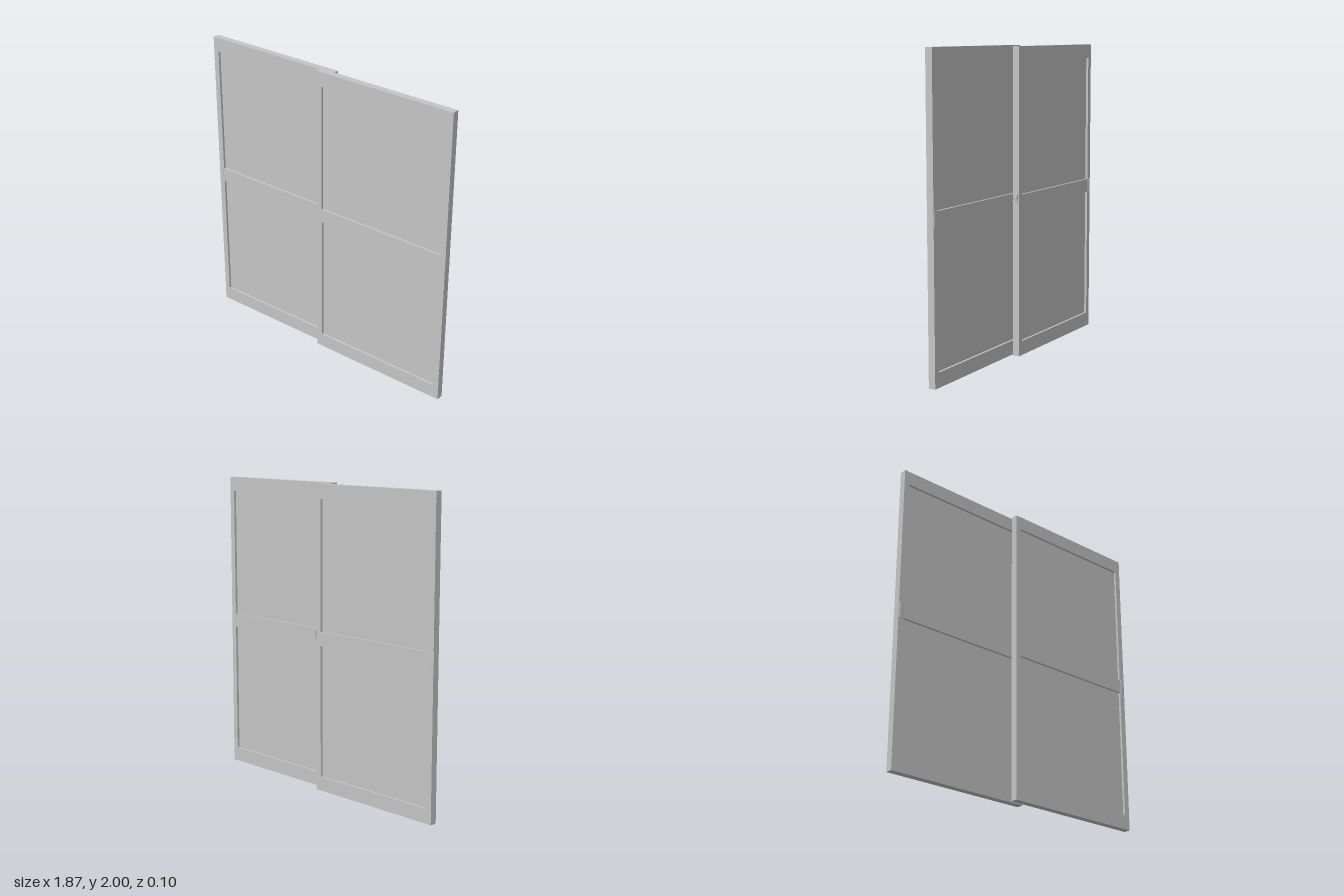
import * as THREE from 'three';

const grey = new THREE.MeshStandardMaterial({ color: 0xc5c5c5 });
grey.name = 'grey';

function add(parent, geometry, name, x = 0, y = 0, z = 0) {
  const mesh = new THREE.Mesh(geometry, grey);
  mesh.name = name;
  mesh.position.set(x, y, z);
  parent.add(mesh);
  return mesh;
}

function rectangle(path, x0, x1, y0, y1) {
  path.moveTo(x0, y0);
  path.lineTo(x1, y0);
  path.lineTo(x1, y1);
  path.lineTo(x0, y1);
  path.closePath();
  return path;
}

// One sliding sash: x from -0.49 to 0.49, outer (pull) side at +x
function createSash(name) {
  const sash = new THREE.Group();
  sash.name = name;
  const depth = 0.046;

  // Frame with two openings and a middle rail
  const outline = rectangle(new THREE.Shape(), -0.49, 0.49, 0, 1.993);
  const openings = [[0.094, 0.963], [1.055, 1.9]];
  for (const [y0, y1] of openings) {
    outline.holes.push(rectangle(new THREE.Path(), -0.452, 0.452, y0, y1));
  }
  const frame = new THREE.ExtrudeGeometry(outline, { depth, bevelEnabled: false });
  frame.translate(0, 0, -depth / 2);
  add(sash, frame, 'sashFrame');

  // Recessed panes
  for (const [y0, y1] of openings) {
    add(sash, new THREE.BoxGeometry(0.904, y1 - y0, 0.015), 'pane', 0, (y0 + y1) / 2, 0);
  }

  // Pull wrapping the outer stile, with sloped sides front and back
  const half = [[0.455, 0.022], [0.463, 0.0265], [0.482, 0.0265], [0.491, 0.022]];
  const mirrored = half.map(([x, z]) => [x, -z]).reverse();
  const section = new THREE.Shape([...half, ...mirrored].map(([x, z]) => new THREE.Vector2(x, z)));
  const pull = new THREE.ExtrudeGeometry(section, { depth: 0.104, bevelEnabled: false });
  pull.rotateX(-Math.PI / 2);
  add(sash, pull, 'pullHandle', 0, 0.957, 0);
  return sash;
}

// Small hooked latch, mounted on a side facing +x
function createLatch() {
  const latch = new THREE.Group();
  latch.name = 'latch';
  add(latch, new THREE.BoxGeometry(0.006, 0.06, 0.024), 'latchPlate', 0.003, 0.03, 0);

  const pivot = new THREE.CylinderGeometry(0.008, 0.008, 0.023, 16);
  pivot.rotateZ(Math.PI / 2);
  add(latch, pivot, 'latchPivot', 0.012, 0.02, 0);

  // Curved hook around the pivot
  const hook = new THREE.TorusGeometry(0.015, 0.004, 8, 20, Math.PI * 1.4);
  hook.rotateY(Math.PI / 2);
  add(latch, hook, 'latchHook', 0.018, 0.02, 0);

  // Thumb lever rising behind the hook
  const lever = add(latch, new THREE.BoxGeometry(0.014, 0.045, 0.006), 'latchLever', 0.017, 0.04, -0.013);
  lever.rotation.x = -0.15;
  return latch;
}

export function createModel() {
  const model = new THREE.Group();
  model.name = 'slidingWindow';

  const frontSash = createSash('frontSash');
  frontSash.position.set(0.443, 0.007, 0.0235);
  model.add(frontSash);

  // Rear sash is turned so its pull is on the far side
  const rearSash = createSash('rearSash');
  rearSash.rotation.y = Math.PI;
  rearSash.position.set(-0.445, 0, -0.0235);
  model.add(rearSash);

  const latch = createLatch();
  latch.position.set(0.045, 1.0, -0.027);
  model.add(latch);
  return model;
}
